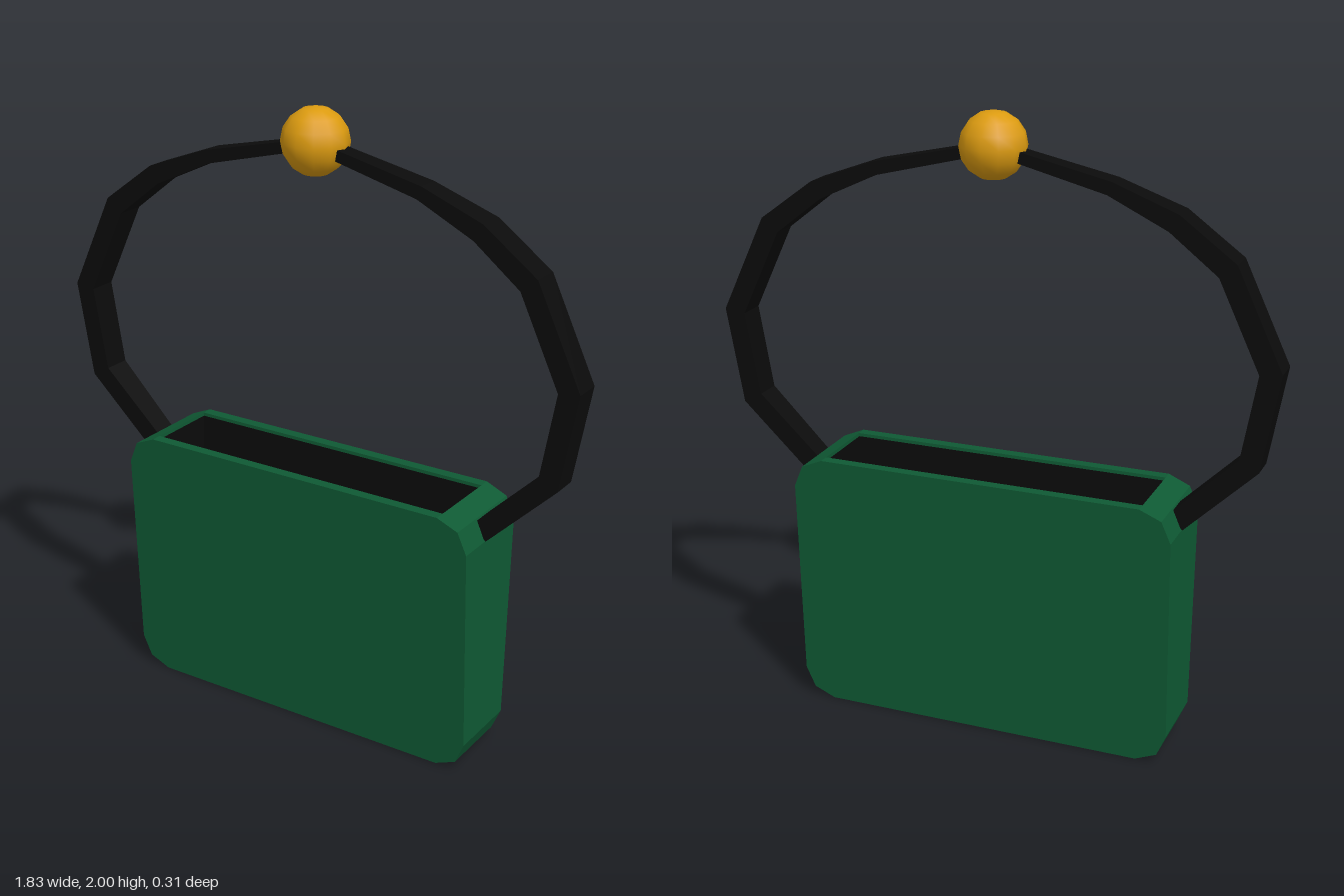
import * as THREE from 'three';

const H = 0.87; // bag height

const mat = (color, extra = {}) =>
  new THREE.MeshStandardMaterial({ color, flatShading: true, ...extra });

function part(name, geometry, material) {
  const mesh = new THREE.Mesh(geometry, material);
  mesh.name = name;
  return mesh;
}

// Narrow the bag's depth towards its base
function taper(geometry) {
  const p = geometry.attributes.position;
  for (let i = 0; i < p.count; i++) {
    p.setZ(i, p.getZ(i) * (0.765 + 0.235 * p.getY(i) / H));
  }
  geometry.computeVertexNormals();
  return geometry;
}

const shapeOf = (pts) => new THREE.Shape(pts.map(([x, y]) => new THREE.Vector2(x, y)));

function slab(pts, z0, z1) {
  const g = new THREE.ExtrudeGeometry(shapeOf(pts), { depth: z1 - z0, bevelEnabled: false });
  return taper(g.translate(0, 0, z0));
}

// Strap of rectangular section swept along a planar path with mitred bends;
// each point is [x, y, half thickness, half depth]
function strapGeometry(path) {
  const pos = [], index = [];
  const dir = (a, b) => new THREE.Vector2(b[0] - a[0], b[1] - a[1]).normalize();
  path.forEach((p, i) => {
    const before = dir(path[Math.max(i - 1, 0)], path[Math.max(i, 1)]);
    const last = path.length - 1;
    const after = dir(path[Math.min(i, last - 1)], path[Math.min(i + 1, last)]);
    const t = before.clone().add(after).normalize();
    const h = p[2] / t.dot(before);
    for (const [s, d] of [[1, 1], [1, -1], [-1, -1], [-1, 1]]) {
      pos.push(p[0] - t.y * h * s, p[1] + t.x * h * s, p[3] * d);
    }
  });
  for (let i = 0; i < path.length - 1; i++) {
    for (let k = 0; k < 4; k++) {
      const a = i * 4 + k, b = i * 4 + (k + 1) % 4;
      index.push(a, a + 4, b, b, a + 4, b + 4);
    }
  }
  const e = (path.length - 1) * 4;
  index.push(0, 1, 2, 0, 2, 3, e, e + 2, e + 1, e, e + 3, e + 2);
  const g = new THREE.BufferGeometry();
  g.setAttribute('position', new THREE.Float32BufferAttribute(pos, 3));
  g.setIndex(index);
  g.computeVertexNormals();
  return g;
}

export function createModel() {
  const model = new THREE.Group();
  model.name = 'handbag';
  const green = mat(0x0f5a34);
  const black = mat(0x0b0b0b, { side: THREE.DoubleSide });
  const gold = new THREE.MeshStandardMaterial({ color: 0xdc9b10 });

  // Bag body: front and back panels joined by a U-shaped gusset
  const right = [[0.53, 0], [0.6, 0.03], [0.63, 0.1], [0.63, 0.77], [0.6, 0.84], [0.53, H]];
  const left = right.map(([x, y]) => [-x, y]).reverse();
  const body = new THREE.Group();
  body.name = 'body';
  body.add(
    part('frontPanel', slab([...right, ...left], 0.12, 0.155), green),
    part('backPanel', slab([...right, ...left], -0.155, -0.12), green),
    part('gusset', slab([...right, [0.53, 0.04], [-0.53, 0.04], ...left], -0.12, 0.12), green)
  );
  model.add(body);

  // Dark lining: a box without its lid
  const lining = new THREE.BoxGeometry(1.055, 0.81, 0.236).translate(0, 0.455, 0);
  lining.setIndex([...lining.index.array].filter((v, i) => i < 12 || i >= 18));
  lining.clearGroups();
  model.add(part('lining', taper(lining), black));

  // Arched strap handle, mirrored about the middle
  const half = [
    [0.61, 0.795, 0.033, 0.038], [0.83, 1.01, 0.033, 0.045], [0.88, 1.3, 0.033, 0.046],
    [0.74, 1.595, 0.033, 0.046], [0.575, 1.72, 0.03, 0.045], [0.375, 1.803, 0.021, 0.037],
    [0, 1.89, 0.016, 0.028]
  ];
  const mirrored = half.slice(0, -1).reverse().map(([x, ...rest]) => [-x, ...rest]);
  model.add(part('handle', strapGeometry([...half, ...mirrored]), black));

  // Ball ornament on top of the handle
  const ball = part('ball', new THREE.SphereGeometry(0.105, 12, 8), gold);
  ball.position.y = 1.895;
  model.add(ball);

  return model;
}
